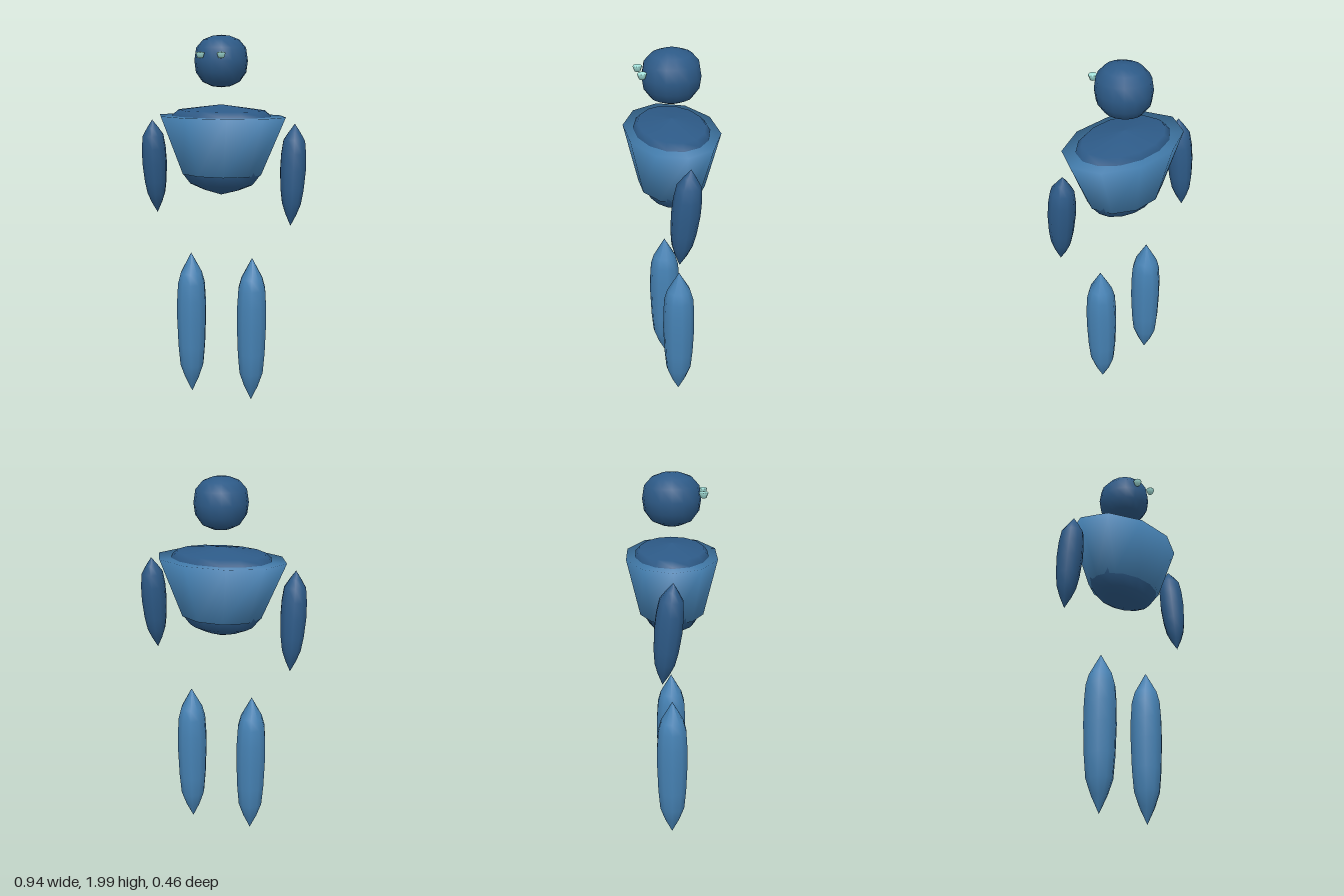
import * as THREE from 'three';
import { mergeVertices } from 'three/addons/utils/BufferGeometryUtils.js';

const mat = (name, color) => {
  const m = new THREE.MeshStandardMaterial({ color });
  m.name = name;
  return m;
};

// Round form from a [radius, y] profile listed bottom to top
const turned = (profile, sides) =>
  new THREE.LatheGeometry(profile.map(([r, y]) => new THREE.Vector2(r, y)), sides, Math.PI / 2);

export function createModel() {
  const model = new THREE.Group();
  const navy = mat('dark blue', 0x2d5a87);
  const steel = mat('steel blue', 0x4682b4);
  const pale = mat('pale aqua', 0xa8e6df);

  const add = (name, geometry, material, x = 0, y = 0, z = 0) => {
    const mesh = new THREE.Mesh(geometry, material);
    mesh.name = name;
    mesh.position.set(x, y, z);
    model.add(mesh);
    return mesh;
  };

  // Head, a little deeper than wide
  const head = add('head', turned([
    [0, 1.733], [0.048, 1.739], [0.097, 1.762], [0.13, 1.81], [0.138, 1.87],
    [0.128, 1.935], [0.093, 1.976], [0.045, 1.995], [0, 2],
  ], 16), navy);
  head.scale.z = 1.07;

  // Body core, flat on top and rounded below
  const body = add('body', turned([
    [0, 1.165], [0.1, 1.193], [0.175, 1.225], [0.218, 1.28], [0.237, 1.34],
    [0.263, 1.41], [0.28, 1.48], [0.281, 1.54], [0.272, 1.59], [0.24, 1.615], [0, 1.645],
  ], 14), navy);
  body.scale.z = 0.7;

  // Ten-sided tapered chest shell, with normals shared between wall and caps
  let shell = new THREE.CylinderGeometry(1, 1, 0.305, 10, 1, false, Math.PI / 2);
  const p = shell.attributes.position;
  for (let i = 0; i < p.count; i++) {
    const top = p.getY(i) > 0;
    p.setX(i, p.getX(i) * (top ? 0.352 : 0.222));
    p.setZ(i, p.getZ(i) * (top ? 0.242 : 0.172));
  }
  shell.deleteAttribute('normal');
  shell.deleteAttribute('uv');
  shell = mergeVertices(shell, 1e-4);
  shell.computeVertexNormals();
  add('chestShell', shell, steel, 0, 1.4325, 0);

  // Spindle limbs: arms hang from the shoulder, legs stand straight
  const armShape = turned([
    [0, -0.525], [0.03, -0.464], [0.05, -0.41], [0.061, -0.34], [0.068, -0.24],
    [0.066, -0.155], [0.057, -0.085], [0.03, -0.042], [0, 0],
  ], 10);
  const legShape = turned([
    [0, 0.008], [0.04, 0.095], [0.067, 0.175], [0.077, 0.29], [0.083, 0.45],
    [0.082, 0.56], [0.076, 0.655], [0.06, 0.715], [0, 0.828],
  ], 10);
  const eyeShape = turned([
    [0, -0.016], [0.015, -0.014], [0.024, 0.01], [0.02, 0.015], [0, 0.017],
  ], 8);

  for (const side of [1, -1]) {
    const label = side > 0 ? 'left' : 'right';
    const arm = add(label + 'Arm', armShape, navy, side * 0.4, 1.555, 0);
    arm.rotation.x = -side * 0.1;
    arm.scale.z = 1.05;

    const leg = add(label + 'Leg', legShape, steel, side * 0.177, 0, 0);
    leg.scale.z = 1.05;

    add(label + 'Eye', eyeShape, pale, side * 0.056, 1.897, 0.156);
  }
  return model;
}
